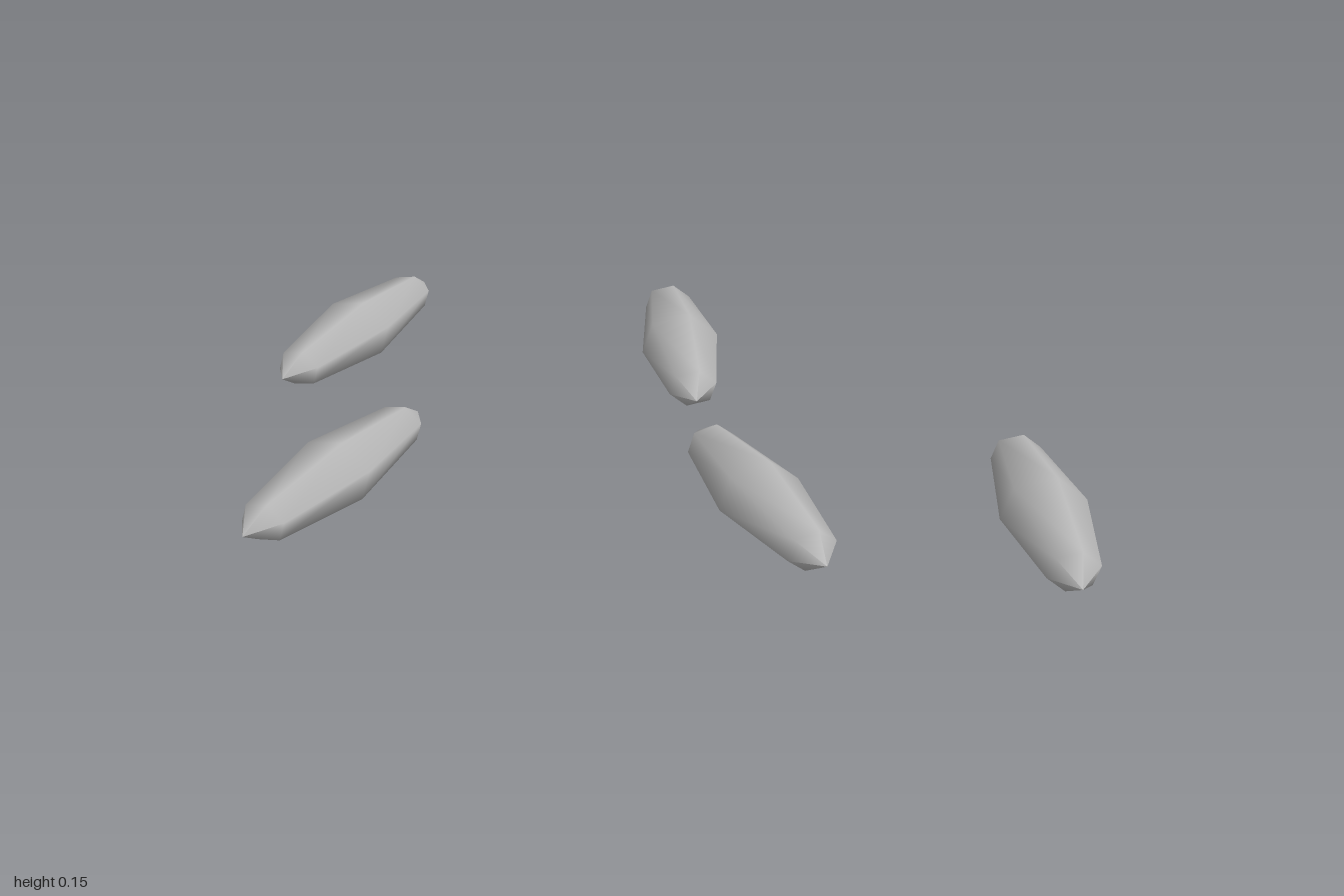
import * as THREE from 'three';

// One grain: a six-sided spindle along z, slightly flattened and rolled
function grainGeometry() {
  const profile = [[0, -0.342], [0.06, -0.27], [0.1, 0], [0.06, 0.27], [0, 0.342]]
    .map(([r, y]) => new THREE.Vector2(r, y));
  const geometry = new THREE.LatheGeometry(profile, 6, Math.PI / 4);
  geometry.rotateX(Math.PI / 2);
  geometry.scale(1, 0.8, 1);
  return geometry;
}

export function createModel() {
  const group = new THREE.Group();
  group.name = 'scatteredGrains';

  const grey = new THREE.MeshStandardMaterial({ color: 0xb8b8b8 });
  grey.name = 'grain grey';
  const geometry = grainGeometry();

  // Back tip and front tip of each grain on the ground plane: x, z, x, z
  const tips = [
    ['backRightGrain', -0.75, -0.72, -0.97, -0.07],
    ['backMiddleGrain', -0.085, -0.73, 0.07, -0.065],
    ['frontRightGrain', -0.595, 0.065, -0.84, 0.705],
    ['frontMiddleGrain', 0.09, 0.09, 0.42, 0.685],
    ['frontLeftGrain', 0.82, 0.05, 0.95, 0.72],
  ];
  for (const [name, x0, z0, x1, z1] of tips) {
    const grain = new THREE.Mesh(geometry, grey);
    grain.name = name;
    grain.position.set((x0 + x1) / 2, 0.078, (z0 + z1) / 2);
    grain.rotation.y = Math.atan2(x1 - x0, z1 - z0);
    group.add(grain);
  }
  return group;
}
